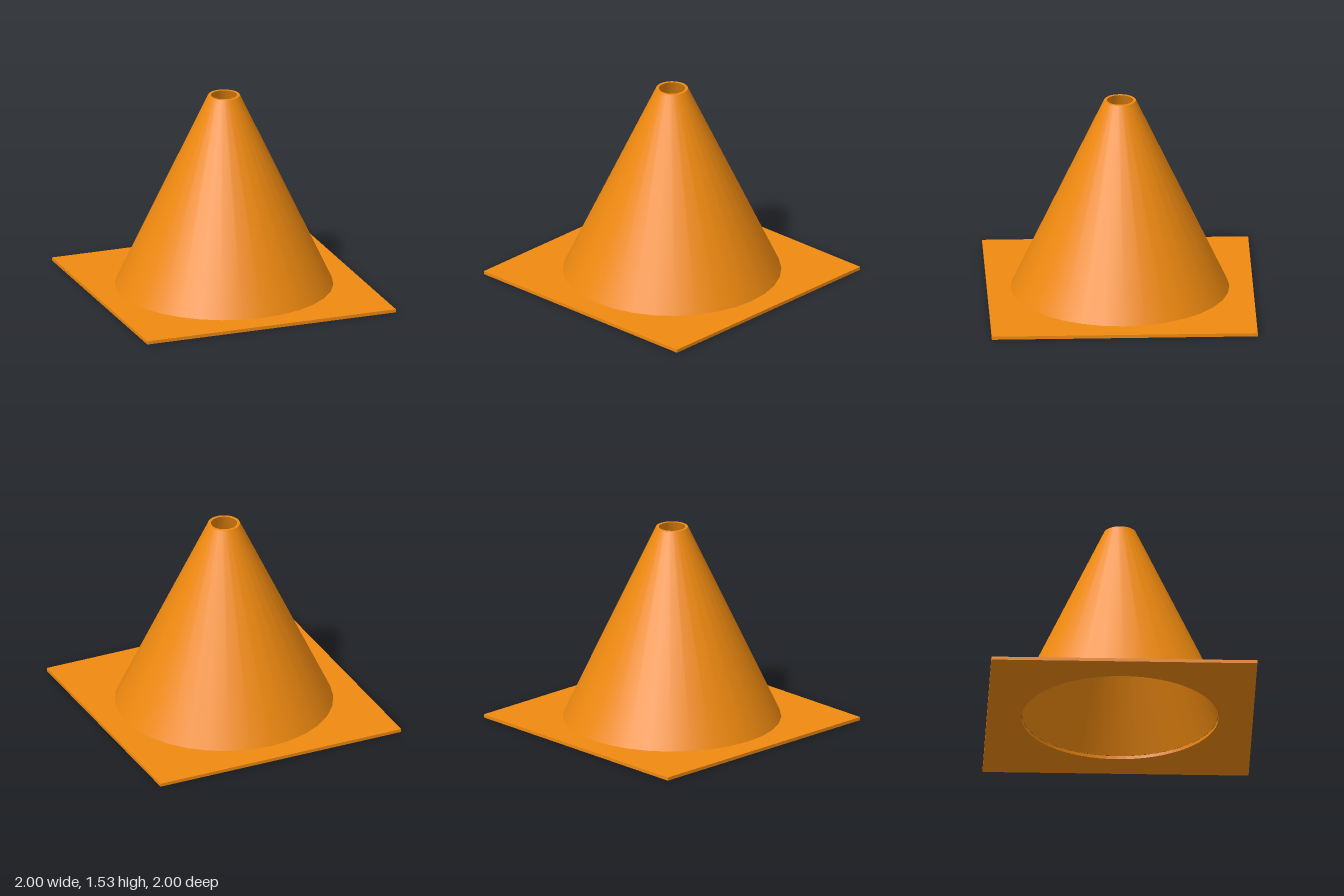
import * as THREE from 'three';

const SIDES = 32;
const BASE_TOP = 0.025, TOP = 1.53;
const OUTER_BOTTOM = 0.822, INNER_BOTTOM = 0.74;
const OUTER_TOP = 0.12, INNER_TOP = 0.098;

export function createModel() {
  const model = new THREE.Group();
  model.name = 'trafficCone';
  const orange = new THREE.MeshStandardMaterial({ color: 0xf08a10 });

  const add = (name, geometry, parent) => {
    const mesh = new THREE.Mesh(geometry, orange);
    mesh.name = name;
    parent.add(mesh);
    return mesh;
  };

  // Square foot plate with a round opening
  const plate = new THREE.Shape([[-1, -1], [1, -1], [1, 1], [-1, 1]].map(([x, y]) => new THREE.Vector2(x, y)));
  plate.holes.push(new THREE.Path().absarc(0, 0, INNER_BOTTOM, 0, Math.PI * 2, true));
  const plateGeometry = new THREE.ExtrudeGeometry(plate, { depth: BASE_TOP, bevelEnabled: false, curveSegments: SIDES });
  plateGeometry.rotateX(-Math.PI / 2);
  add('basePlate', plateGeometry, model);

  // Hollow cone: each band is its own lathe so the rim edges stay sharp
  const cone = new THREE.Group();
  cone.name = 'cone';
  model.add(cone);
  const bands = {
    outerWall: [[OUTER_BOTTOM, BASE_TOP], [OUTER_TOP, TOP]],
    topRim: [[OUTER_TOP, TOP], [INNER_TOP, TOP]],
    innerWall: [[INNER_TOP, TOP], [INNER_BOTTOM, BASE_TOP]],
  };
  for (const [name, profile] of Object.entries(bands)) {
    add(name, new THREE.LatheGeometry(profile.map(([r, y]) => new THREE.Vector2(r, y)), SIDES), cone);
  }
  return model;
}
